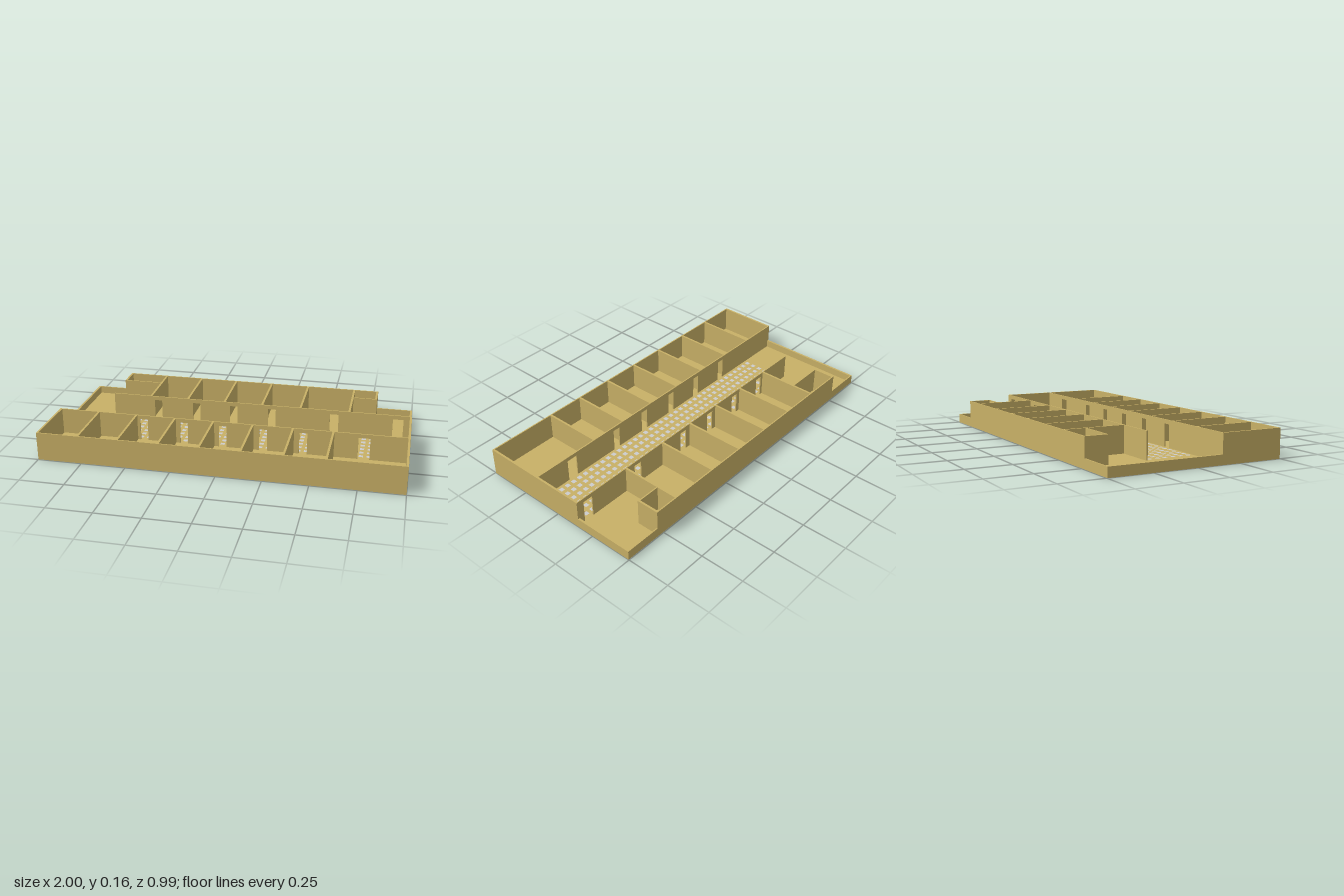
import * as THREE from 'three';
import { mergeGeometries } from 'three/addons/utils/BufferGeometryUtils.js';

const FLOOR = 0.01, TALL = 0.16, LOW = 0.053, DOOR_TOP = 0.137;
const TX = 0.012; // thickness of walls running along z
const TZ = 0.007; // thickness of walls running along x
const X = 1, Z = 0.497, CORRIDOR = 0.147;

export function createModel() {
  const group = new THREE.Group();
  const plaster = new THREE.MeshStandardMaterial({ color: 0xc8b066, flatShading: true });
  const grey = new THREE.MeshStandardMaterial({ color: 0xcccccc });

  const add = (name, geometry, material = plaster) => {
    const mesh = new THREE.Mesh(geometry, material);
    mesh.name = name;
    group.add(mesh);
    return mesh;
  };
  const block = (name, x0, x1, z0, z1, top, bottom = 0) =>
    add(name, new THREE.BoxGeometry(x1 - x0, top - bottom, z1 - z0))
      .position.set((x0 + x1) / 2, (top + bottom) / 2, (z0 + z1) / 2);

  // Wall along z, centred on x
  const crossWall = (name, x, z0, z1) => block(name, x - TX / 2, x + TX / 2, z0, z1, TALL, FLOOR);
  // Wall along x, centred on z
  const longWall = (name, z, x0, x1) => block(name, x0, x1, z - TZ / 2, z + TZ / 2, TALL, FLOOR);

  // Corridor wall with doorways given as [centre, width]
  const doorWall = (name, z, x0, x1, doors) => {
    const shape = new THREE.Shape();
    shape.moveTo(x0, TALL);
    shape.lineTo(x0, FLOOR);
    for (const [c, w] of doors) {
      shape.lineTo(c - w / 2, FLOOR);
      shape.lineTo(c - w / 2, DOOR_TOP);
      shape.lineTo(c + w / 2, DOOR_TOP);
      shape.lineTo(c + w / 2, FLOOR);
    }
    shape.lineTo(x1, FLOOR);
    shape.lineTo(x1, TALL);
    add(name, new THREE.ExtrudeGeometry(shape, { depth: TZ, bevelEnabled: false }))
      .position.z = z - TZ / 2;
  };

  // Floor slab
  block('floor', -X, X, -Z, Z, FLOOR);

  // Outer walls: tall around the rooms, low parapets at the open corners
  block('frontWall', -X, X, Z - TZ, Z, TALL);
  block('rightEndWall', -X, -X + TX, CORRIDOR - TZ / 2, Z, TALL);
  block('rightEndParapet', -X, -X + TX, -Z, CORRIDOR, LOW);
  block('leftEndWall', X - TX, X, -CORRIDOR - TZ / 2, Z, TALL);
  block('leftEndParapet', X - TX, X, -Z, -CORRIDOR, LOW);
  block('backWall', -0.775, 0.79, -Z, -Z + TZ, TALL);
  block('backParapetRight', -X, -0.775, -Z, -Z + TZ, LOW);
  block('backParapetLeft', 0.79, X, -Z, -Z + TZ, LOW);

  // Corridor walls
  const doors = [-0.495, -0.26, -0.035, 0.195].map((x) => [x, 0.045]);
  doorWall('frontCorridorWall', CORRIDOR, -X, X, [...doors, [0.42, 0.045], [0.755, 0.065]]);
  doorWall('backCorridorWall', -CORRIDOR, -0.77, X, [...doors, [0.56, 0.05], [0.925, 0.06]]);

  // Room partitions
  for (const x of [-0.765, -0.54, -0.313, -0.09, 0.135, 0.362, 0.585])
    crossWall('frontPartition', x, CORRIDOR, Z);
  for (const x of [-0.54, -0.313, -0.09, 0.135, 0.362, 0.645])
    crossWall('backPartition', x, -Z, -CORRIDOR);

  // Small recessed rooms at both ends of the back row
  crossWall('closetSideWall', -0.769, -Z, -0.367);
  longWall('closetWall', -0.37, -0.775, -0.54);
  crossWall('closetSideWall', 0.784, -Z, -0.367);
  longWall('closetWall', -0.37, 0.645, 0.79);

  // Grey tiles on the corridor floor
  const tiles = [];
  for (let i = 0; i < 40; i++) {
    for (let j = 0; j < 6; j++) {
      const tile = new THREE.PlaneGeometry(0.024, 0.024).rotateX(-Math.PI / 2);
      tiles.push(tile.translate(-0.74 + i * 0.0435, FLOOR + 0.001, -0.115 + j * 0.046));
    }
  }
  add('corridorTiles', mergeGeometries(tiles), grey);

  return group;
}
